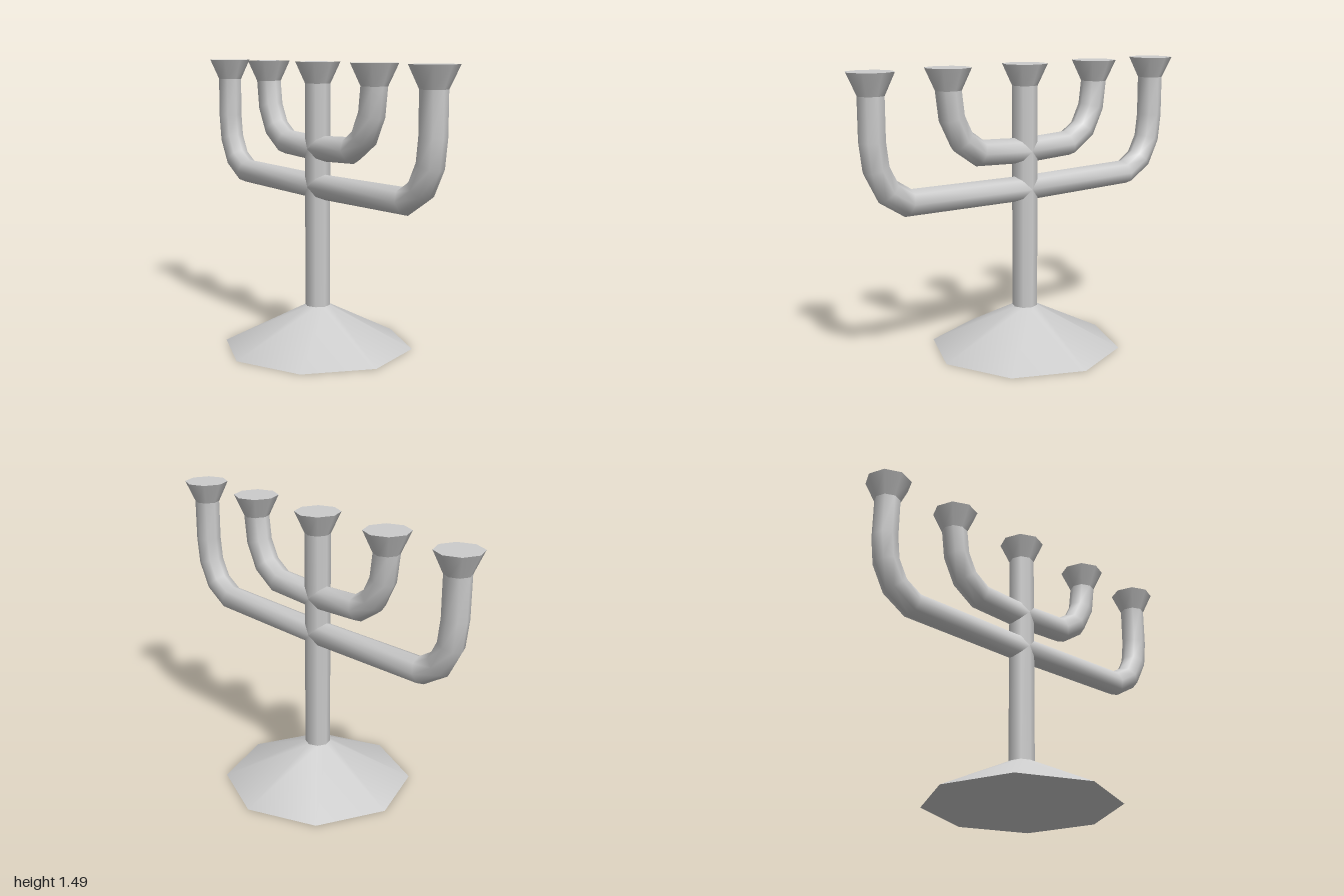
import * as THREE from 'three';

const SIDES = 8;
const R = 0.066; // tube radius
const TOP = 1.385; // where stems meet cups

// Sweep an octagon along a [z, y] path with mitred joints.
function sweep(path) {
  const pts = path.map(([z, y]) => new THREE.Vector2(z, y));
  const last = pts[pts.length - 1];
  // lead-in and lead-out points keep the first ring upright and the last one level
  const all = [pts[0].clone().add(new THREE.Vector2(-1, 0)), ...pts, last.clone().add(new THREE.Vector2(0, 1))];
  const pos = [], idx = [];
  pts.forEach((p, i) => {
    const d0 = p.clone().sub(all[i]).normalize();
    const d1 = all[i + 2].clone().sub(p).normalize();
    const t = d0.clone().add(d1).normalize();
    const r = R / t.dot(d1); // mitre stretch in the bend plane
    for (let j = 0; j < SIDES; j++) {
      const a = (j / SIDES) * Math.PI * 2;
      const s = r * Math.sin(a);
      pos.push(R * Math.cos(a), p.y + s * t.x, p.x - s * t.y);
      if (i < pts.length - 1) {
        const k = (j + 1) % SIDES, o = i * SIDES;
        const A = o + j, B = o + k, C = A + SIDES, D = B + SIDES;
        idx.push(A, B, D, A, D, C);
      }
    }
  });
  const g = new THREE.BufferGeometry();
  g.setAttribute('position', new THREE.Float32BufferAttribute(pos, 3));
  g.setIndex(idx);
  g.computeVertexNormals();
  return g;
}

export function createModel() {
  const model = new THREE.Group();
  const material = new THREE.MeshStandardMaterial({ color: 0xcccccc });

  const add = (name, geometry, y = 0, z = 0) => {
    const mesh = new THREE.Mesh(geometry, material);
    mesh.name = name;
    mesh.position.set(0, y, z);
    model.add(mesh);
    return mesh;
  };

  // Base and central stem
  add('base', new THREE.CylinderGeometry(R, 0.5, 0.22, SIDES), 0.11);
  add('stem', new THREE.CylinderGeometry(R, R, TOP - 0.22, SIDES), (TOP + 0.22) / 2);

  // Curved arms, one pair per path
  const arms = {
    lowerArm: [[0, 0.85], [0.7, 0.86], [0.808, 0.927], [0.867, 1.04], [0.883, 1.17], [0.883, TOP]],
    upperArm: [[0, 1.047], [0.284, 1.06], [0.387, 1.13], [0.445, 1.245], [0.463, TOP]],
  };
  for (const [name, path] of Object.entries(arms)) {
    const geometry = sweep(path);
    add(name + 'Front', geometry);
    add(name + 'Back', geometry).rotation.y = Math.PI;
  }

  // Flared candle cups
  const cup = new THREE.CylinderGeometry(0.117, R, 0.11, SIDES);
  for (const z of [-0.883, -0.463, 0, 0.463, 0.883]) add('cup', cup, 1.435, z);

  return model;
}
